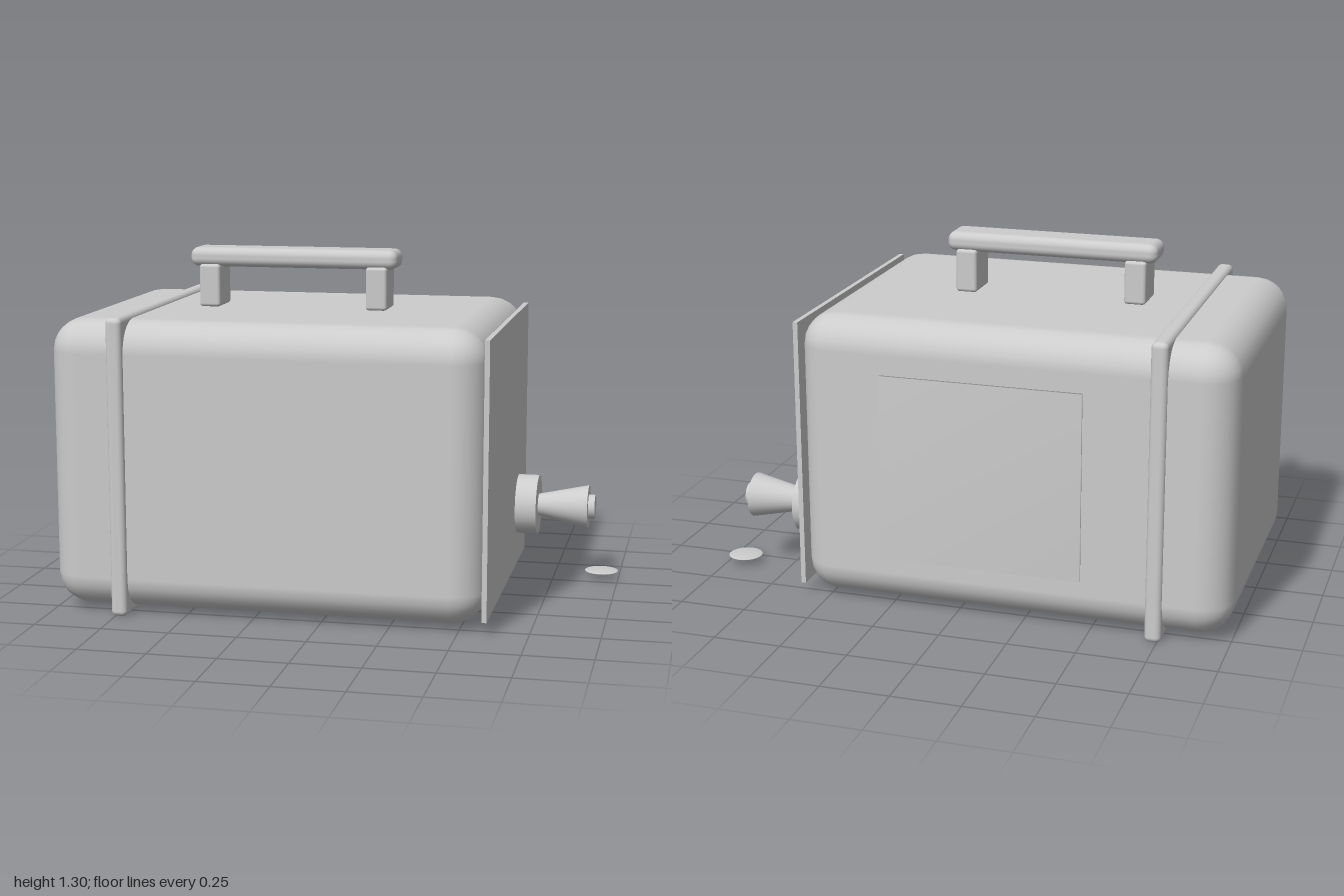
import * as THREE from 'three';
import { mergeVertices } from 'three/addons/utils/BufferGeometryUtils.js';
import { RoundedBoxGeometry } from 'three/addons/geometries/RoundedBoxGeometry.js';

const grey = new THREE.MeshStandardMaterial({ color: 0xcccccc });
grey.name = 'plain grey';

export function createModel() {
  const model = new THREE.Group();
  model.name = 'portableDispenser';

  const add = (name, geometry, x, y, z) => {
    const mesh = new THREE.Mesh(geometry, grey);
    mesh.name = name;
    mesh.position.set(x, y, z);
    model.add(mesh);
    return mesh;
  };

  // Rounded box given by its lower and upper corners
  const rounded = (name, lo, hi, radius, segments) => {
    const size = hi.map((v, i) => v - lo[i]);
    const mid = hi.map((v, i) => (v + lo[i]) / 2);
    return add(name, new RoundedBoxGeometry(...size, segments, radius), ...mid);
  };

  // Case and the band around its left end
  rounded('body', [-1, 0.02, -0.582], [0.59, 1.08, 0.578], 0.12, 3);
  rounded('band', [-0.765, 0.003, -0.598], [-0.705, 1.095, 0.598], 0.02, 3);

  // End plate behind the tap
  add('endPlate', new THREE.BoxGeometry(0.018, 1, 1.11), 0.595, 0.55, 0);

  // Thin rear panel with normals shared across its corners
  let panel = new THREE.BoxGeometry(0.74, 0.69, 0.012);
  panel.deleteAttribute('normal');
  panel.deleteAttribute('uv');
  panel = mergeVertices(panel);
  panel.computeVertexNormals();
  add('rearPanel', panel, -0.1, 0.545, -0.588);

  // Carrying handle on two posts
  rounded('handleBar', [-0.605, 1.23, -0.075], [0.187, 1.302, 0.072], 0.03, 3);
  for (const x of [-0.527, 0.111]) {
    rounded('handlePost', [x - 0.04, 1.08, -0.078], [x + 0.04, 1.24, 0.078], 0.012, 2);
  }

  // Tap: flange, flared lever and end button, all along x
  const tap = (name, x0, x1, r0, r1) => {
    const mesh = add(name, new THREE.CylinderGeometry(r1, r0, x1 - x0, 32), (x0 + x1) / 2, 0.285, -0.32);
    mesh.rotation.z = -Math.PI / 2;
  };
  tap('tapFlange', 0.6, 0.685, 0.115, 0.115);
  tap('tapLever', 0.685, 0.88, 0.042, 0.084);
  tap('tapButton', 0.87, 0.905, 0.047, 0.047);

  // Flattened droplet below the tap
  const drop = add('droplet', new THREE.SphereGeometry(0.065, 24, 14), 0.935, 0.032, -0.32);
  drop.scale.y = 0.1;

  return model;
}
